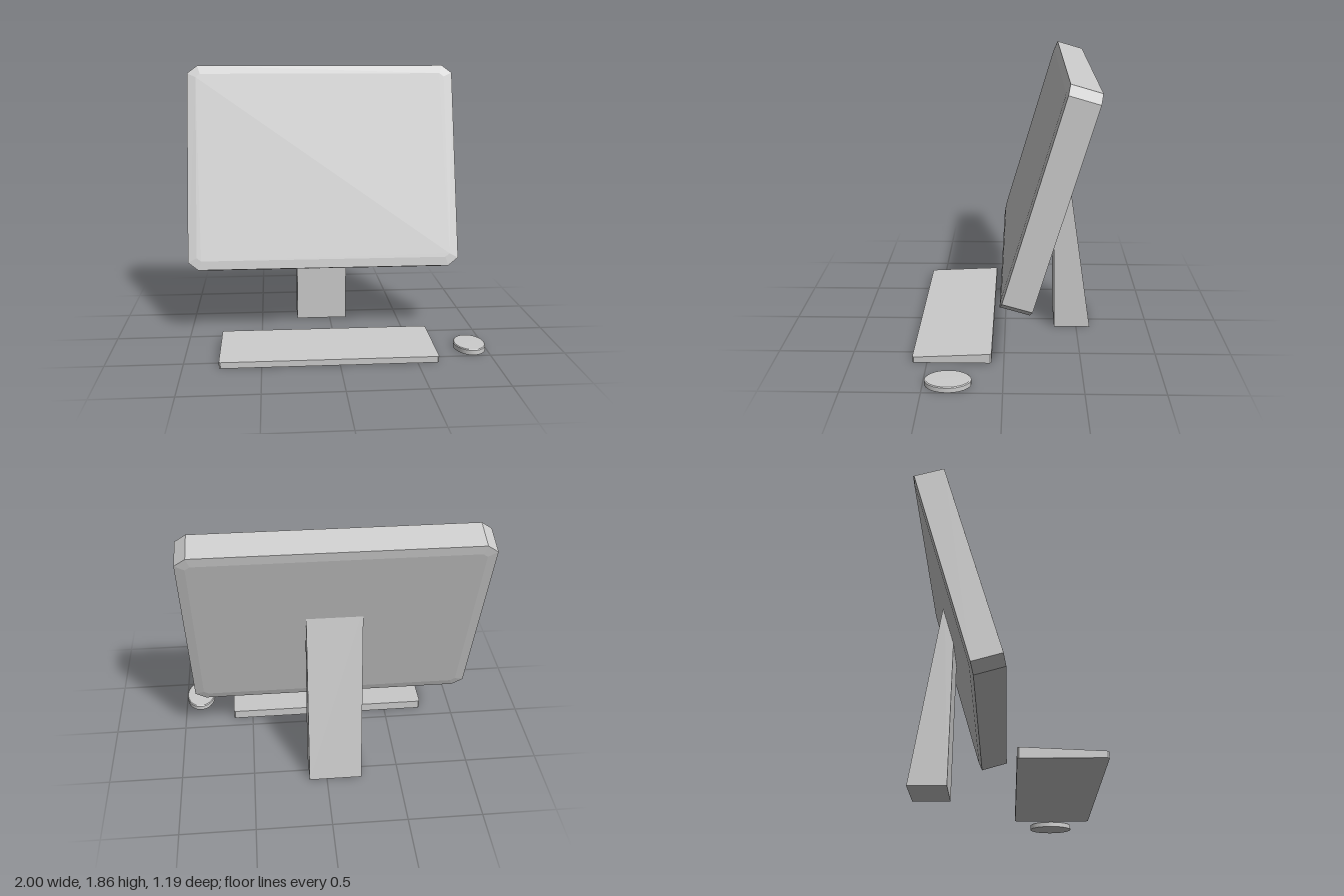
import * as THREE from 'three';
import { toCreasedNormals } from 'three/addons/utils/BufferGeometryUtils.js';

const material = new THREE.MeshStandardMaterial({ color: 0xcccccc, flatShading: true });
const smooth = new THREE.MeshStandardMaterial({ color: 0xcccccc });

function addPart(group, name, geometry, mat = material) {
  const mesh = new THREE.Mesh(geometry, mat);
  mesh.name = name;
  group.add(mesh);
  return mesh;
}

function polygon(points) {
  return new THREE.Shape(points.map(([x, y]) => new THREE.Vector2(x, y)));
}

// Centred rectangle with its four corners cut off by cx, cy
function cutRectangle(width, height, cx, cy) {
  const w = width / 2, h = height / 2;
  return polygon([
    [-w + cx, -h], [w - cx, -h], [w, -h + cy], [w, h - cy],
    [w - cx, h], [-w + cx, h], [-w, h - cy], [-w, -h + cy],
  ]);
}

export function createModel() {
  const group = new THREE.Group();
  group.name = 'desktopComputer';
  const centreX = -0.06;

  // Tilted screen, with a shallow raised bevel on its front and back faces
  const depth = 0.193;
  const screenGeometry = new THREE.ExtrudeGeometry(cutRectangle(1.88, 1.432, 0.07, 0.054), {
    depth, bevelEnabled: true, bevelSegments: 1,
    bevelThickness: 0.008, bevelSize: 0.06, bevelOffset: -0.06,
  });
  screenGeometry.translate(0, 0, -depth / 2);
  const screen = addPart(group, 'screen', screenGeometry);
  screen.position.set(centreX, 1.146, -0.271);
  screen.rotation.x = -0.283;

  // Tapered stand: side profile in (z, y), extruded across x
  const standWidth = 0.36;
  const profile = [[-0.345, 0], [-0.595, 0], [-0.397, 1.3], [-0.329, 1.0]];
  const standGeometry = new THREE.ExtrudeGeometry(
    polygon(profile.map(([z, y]) => [-z, y])), { depth: standWidth, bevelEnabled: false });
  standGeometry.translate(0, 0, -standWidth / 2).rotateY(Math.PI / 2);
  const stand = addPart(group, 'stand', standGeometry);
  stand.position.x = centreX;

  // Keyboard wedge: a flat slab whose top slopes up to the back
  const length = 0.515;
  const keyboardGeometry = new THREE.ExtrudeGeometry(
    cutRectangle(1.41, length, 0.01, 0.01), { depth: 1, bevelEnabled: false });
  keyboardGeometry.rotateX(-Math.PI / 2);
  const p = keyboardGeometry.attributes.position;
  for (let i = 0; i < p.count; i++) {
    const back = 0.5 - p.getZ(i) / length;
    if (p.getY(i) > 0.5) p.setY(i, 0.04 + 0.025 * back);
    else p.setY(i, 0);
  }
  keyboardGeometry.computeVertexNormals();
  const keyboard = addPart(group, 'keyboard', keyboardGeometry);
  keyboard.position.set(-0.065, 0, 0.3375);

  // Oval mouse with a slightly eased top edge
  const mouseProfile = [[0, 0], [1, 0], [1, 0.031], [0.95, 0.036], [0, 0.037]]
    .map(([r, y]) => new THREE.Vector2(r, y));
  const mouseGeometry = new THREE.LatheGeometry(mouseProfile, 32);
  mouseGeometry.scale(0.105, 1, 0.147);
  const mouse = addPart(group, 'mouse', toCreasedNormals(mouseGeometry, 0.5), smooth);
  mouse.position.set(0.893, 0, 0.342);

  return group;
}
